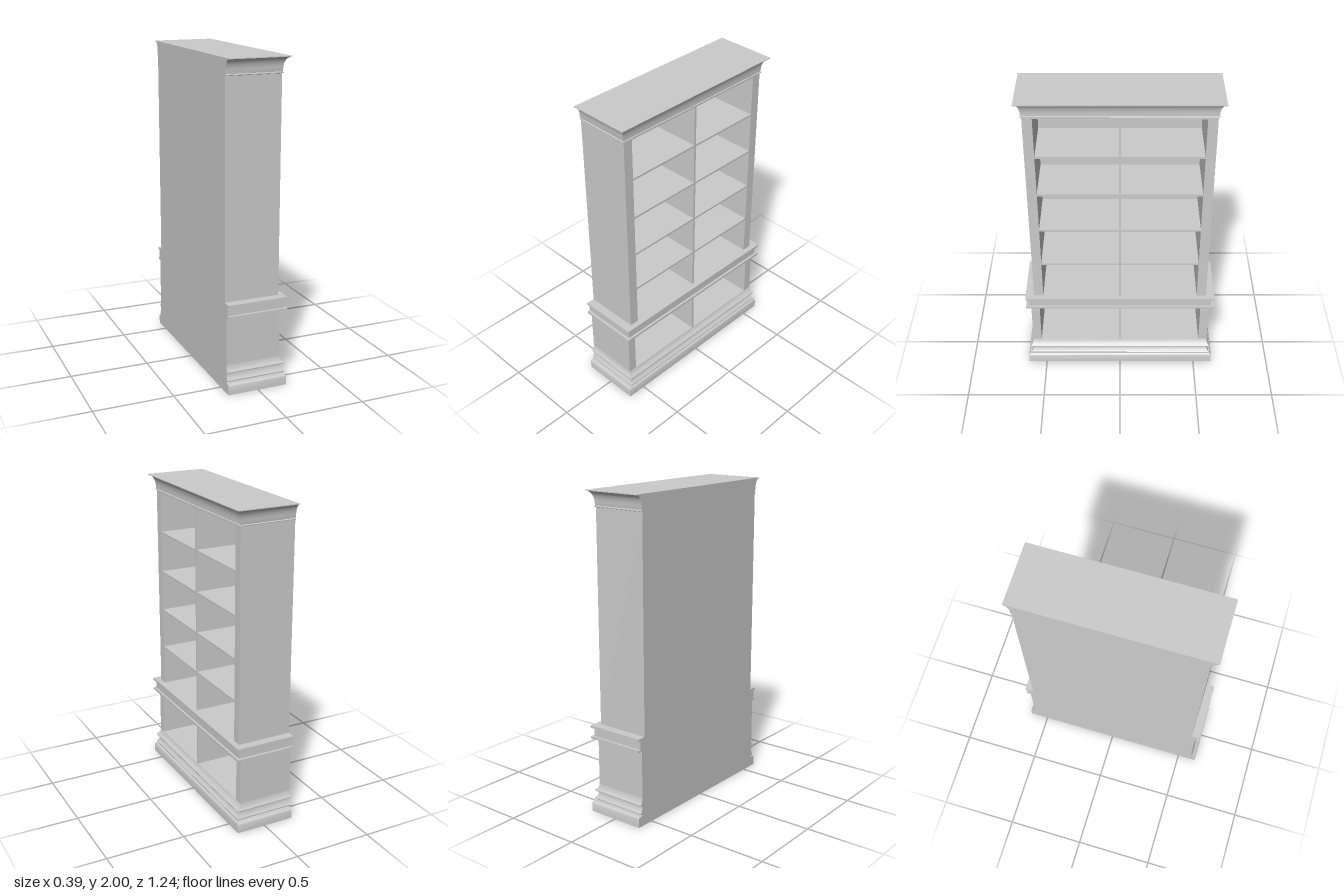
import * as THREE from 'three';
import { toCreasedNormals } from 'three/addons/utils/BufferGeometryUtils.js';

const BACK = -0.195;   // plane of the flat back
const FRONT = 0.155;   // plane of the carcass front (open side faces +x)
const INNER = -0.175;  // front of the back panel
const material = new THREE.MeshStandardMaterial({ color: 0xcccccc });

// Box given by its limits on each axis
function slab(group, name, [x0, x1], [y0, y1], [z0, z1]) {
  const mesh = new THREE.Mesh(new THREE.BoxGeometry(x1 - x0, y1 - y0, z1 - z0), material);
  mesh.position.set((x0 + x1) / 2, (y0 + y1) / 2, (z0 + z1) / 2);
  mesh.name = name;
  group.add(mesh);
}

// Moulding that wraps the front and both ends, with a flat back.
// Profile rows run upward: [front x, half width z, y]
function moulding(group, name, profile) {
  const positions = [];
  const indices = [];
  for (const [x, z, y] of profile) {
    positions.push(BACK, y, z, x, y, z, x, y, -z, BACK, y, -z);
  }
  for (let i = 0; i < profile.length - 1; i++) {
    for (let j = 0; j < 4; j++) {
      const a = i * 4 + j;
      const b = i * 4 + (j + 1) % 4;
      indices.push(a, b, b + 4, a, b + 4, a + 4);
    }
  }
  const t = (profile.length - 1) * 4;
  indices.push(0, 2, 1, 0, 3, 2, t, t + 1, t + 2, t, t + 2, t + 3);
  const geometry = new THREE.BufferGeometry();
  geometry.setAttribute('position', new THREE.Float32BufferAttribute(positions, 3));
  geometry.setIndex(indices);
  const mesh = new THREE.Mesh(toCreasedNormals(geometry, 0.6), material);
  mesh.name = name;
  group.add(mesh);
}

// Open carcass: back, two thick sides and a central divider
function carcass(name, y, halfWidth, halfOpening) {
  const group = new THREE.Group();
  group.name = name;
  slab(group, 'backPanel', [BACK, INNER], y, [-halfOpening, halfOpening]);
  slab(group, 'leftEnd', [BACK, FRONT], y, [halfOpening, halfWidth]);
  slab(group, 'rightEnd', [BACK, FRONT], y, [-halfWidth, -halfOpening]);
  slab(group, 'divider', [INNER, FRONT], y, [-0.007, 0.007]);
  return group;
}

export function createModel() {
  const model = new THREE.Group();
  model.name = 'bookcase';

  // Plinth with a softened top edge
  moulding(model, 'plinth', [
    [0.19, 0.62, 0], [0.19, 0.62, 0.053], [0.187, 0.617, 0.06],
    [0.18, 0.61, 0.066], [0.155, 0.585, 0.068],
  ]);

  // Stepped base moulding: two flared lips with hollows above them
  moulding(model, 'baseMoulding', [
    [0.16, 0.585, 0.066], [0.16, 0.585, 0.076], [0.183, 0.6, 0.077], [0.184, 0.601, 0.084],
    [0.174, 0.594, 0.094], [0.166, 0.588, 0.108], [0.163, 0.585, 0.124],
    [0.163, 0.585, 0.13], [0.181, 0.6, 0.132], [0.182, 0.601, 0.138],
    [0.17, 0.593, 0.15], [0.16, 0.588, 0.163], [0.155, 0.585, 0.18],
  ]);

  // Lower cabinet
  model.add(carcass('lowerCabinet', [0.18, 0.485], 0.585, 0.53));

  // Waist band: two projecting fillets around a plain frieze
  moulding(model, 'waistBand', [
    [0.19, 0.615, 0.483], [0.19, 0.615, 0.498], [0.175, 0.598, 0.498],
    [0.175, 0.598, 0.553], [0.19, 0.615, 0.553], [0.19, 0.615, 0.569],
  ]);

  // Upper cabinet with four shelves
  const upper = carcass('upperCabinet', [0.569, 1.89], 0.56, 0.5);
  for (let i = 0; i < 4; i++) {
    const y = 0.824 + i * 0.2665;
    for (const [name, z] of [['leftShelf', [0.007, 0.5]], ['rightShelf', [-0.5, -0.007]]]) {
      slab(upper, name, [INNER, FRONT], [y, y + 0.013], z);
    }
  }
  slab(upper, 'topRail', [BACK, FRONT], [1.89, 1.91], [-0.56, 0.56]);
  model.add(upper);

  // Cornice: bead, fascia and a curved flare up to the flat top
  const cornice = [
    [0.157, 0.562, 1.9], [0.162, 0.567, 1.902], [0.162, 0.567, 1.907],
    [0.158, 0.563, 1.91],
  ];
  for (let i = 0; i <= 10; i++) {
    const a = (i / 10) * Math.PI / 2;
    const out = 0.037 * (1 - Math.cos(a));
    cornice.push([0.158 + out, 0.566 + out, 1.925 + 0.07 * Math.sin(a)]);
  }
  cornice.push([0.195, 0.603, 2]);
  moulding(model, 'cornice', cornice);

  return model;
}
